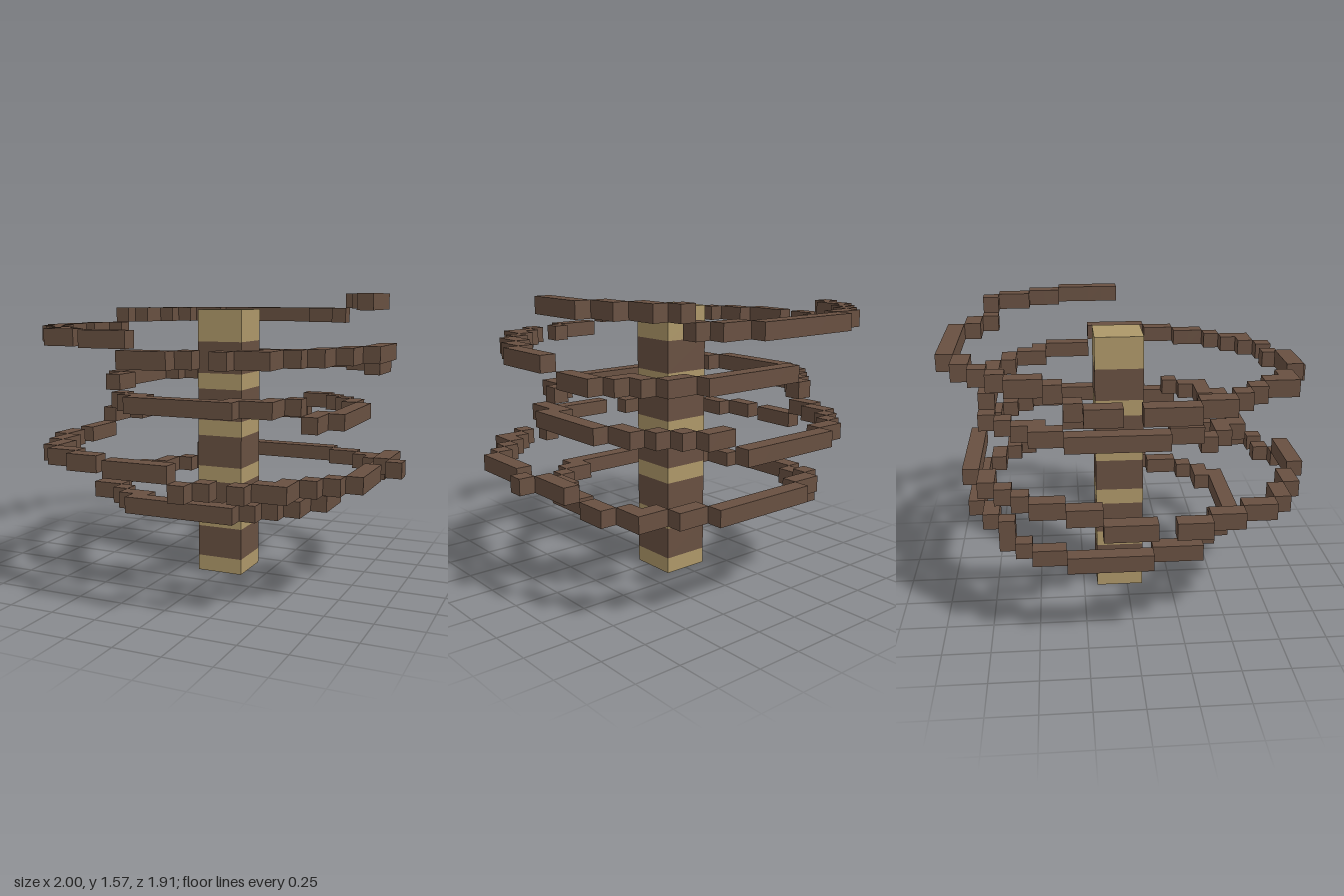
import * as THREE from 'three';
import { mergeGeometries } from 'three/addons/utils/BufferGeometryUtils.js';

const S = 2 / 23; // edge of one block

export function createModel() {
  const bark = new THREE.MeshStandardMaterial({ color: 0x685041 });
  bark.name = 'dark brown';
  const tan = new THREE.MeshStandardMaterial({ color: 0xae9869 });
  tan.name = 'tan';

  const model = new THREE.Group();
  model.name = 'spiralTower';

  // Square column of alternating bands
  const column = new THREE.Group();
  column.name = 'column';
  const band = (name, y, h, material) => {
    const mesh = new THREE.Mesh(new THREE.BoxGeometry(3 * S, h * S, 3 * S), material);
    mesh.name = name;
    mesh.position.set(0, (y + h / 2) * S, -S / 2);
    column.add(mesh);
  };
  for (let y = 0; y < 15; y += 3) {
    band('tanBand', y, 1, tan);
    band('brownBand', y + 1, 2, bark);
  }
  band('columnCap', 15, 2, tan);
  model.add(column);

  // Four-turn block spiral whose radius swells and shrinks as it climbs.
  // Each entry is the step at which the spiral rises by one layer.
  const rises = [38, 55, 71, 88, 104, 121, 138, 156, 172, 189, 205, 222];
  const seen = new Set();
  const blocks = [];
  for (let k = 0; k <= 230; k++) {
    const deg = 6.254 * k;
    const a = THREE.MathUtils.degToRad(deg);
    const r = 9 + 1.95 * Math.cos(THREE.MathUtils.degToRad(0.4586 * (deg - 1235)));
    const i = Math.round(r * Math.cos(a) + 0.03);
    const j = Math.round(r * Math.sin(a) - 0.05);
    const layer = 5 + rises.filter((step) => k >= step).length;
    const key = `${i},${layer},${j}`;
    if (seen.has(key)) continue;
    seen.add(key);
    blocks.push(new THREE.BoxGeometry(S, S, S).translate(i * S, (layer + 0.5) * S, (j - 0.5) * S));
  }
  const spiral = new THREE.Mesh(mergeGeometries(blocks), bark);
  spiral.name = 'spiral';
  model.add(spiral);

  return model;
}
